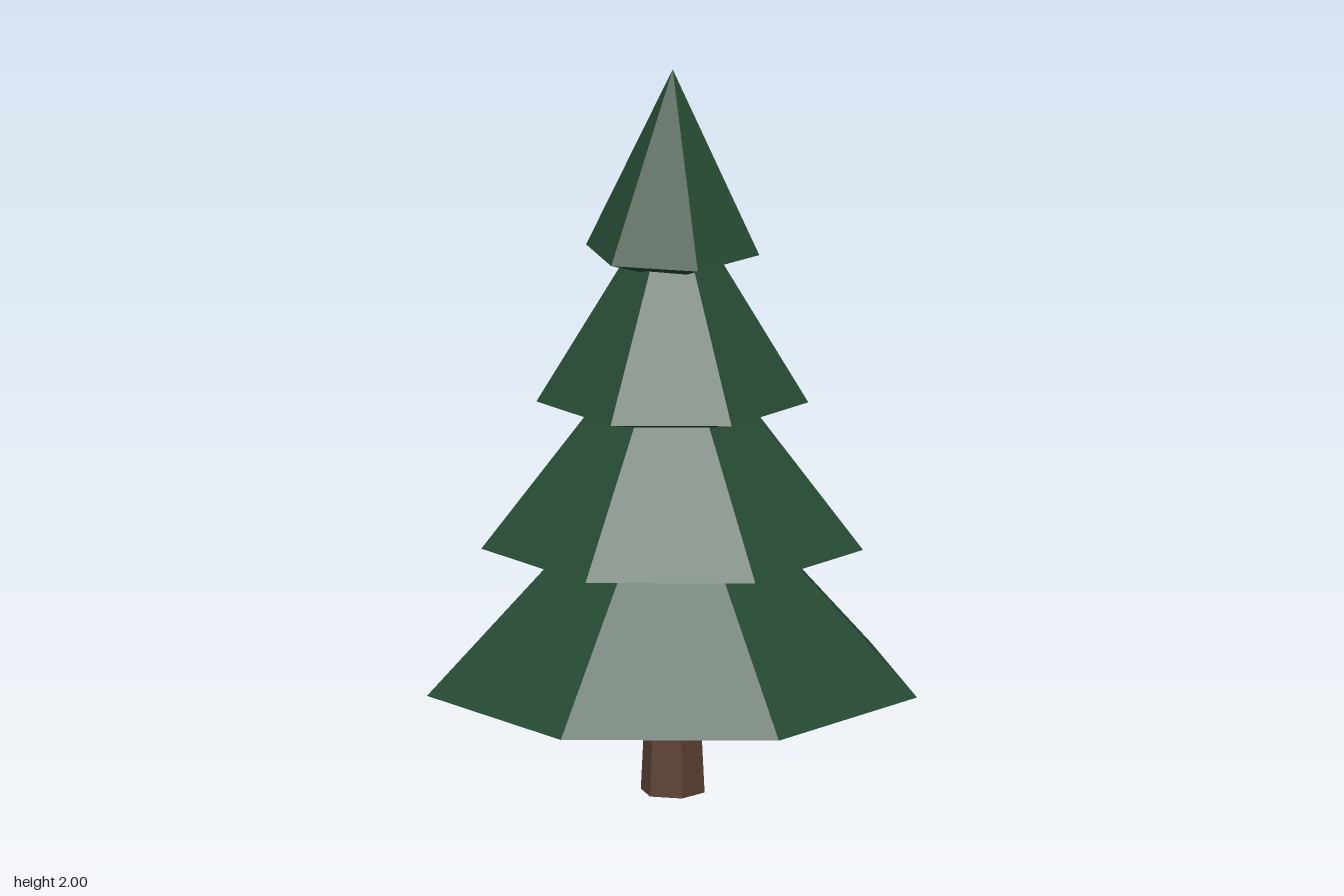
import * as THREE from 'three';

const needleGreen = new THREE.MeshStandardMaterial({ color: 0x264a33, flatShading: true });
needleGreen.name = 'needle green';
const barkBrown = new THREE.MeshStandardMaterial({ color: 0x5c4033, flatShading: true });
barkBrown.name = 'bark brown';

// Faceted solid of revolution; profile runs bottom to top as [radius, y],
// and one corner lies at the given angle from +x towards +z.
function faceted(name, profile, sides, cornerDegrees, material) {
  const points = profile.map(([r, y]) => new THREE.Vector2(r, y));
  const start = THREE.MathUtils.degToRad(90 - cornerDegrees);
  const mesh = new THREE.Mesh(new THREE.LatheGeometry(points, sides, start), material);
  mesh.name = name;
  return mesh;
}

export function createModel() {
  const tree = new THREE.Group();
  tree.name = 'pineTree';

  // Tapered six-sided trunk, its top hidden in the lowest tier
  tree.add(faceted('trunk', [[0, 0], [0.088, 0], [0.073, 0.3], [0, 0.3]], 6, -3.5, barkBrown));

  // Branch tiers: steep cone above, shallow cone below the rim
  const tiers = [
    { name: 'bottomTier', r: 0.674, under: 0.17, rim: 0.3, tip: 1.0, sides: 7, corner: 5 },
    { name: 'lowerTier', r: 0.525, under: 0.575, rim: 0.7, tip: 1.35, sides: 7, corner: 5 },
    { name: 'upperTier', r: 0.374, under: 1.0, rim: 1.1, tip: 1.69, sides: 7, corner: 5 },
    { name: 'topTier', r: 0.239, under: 1.42, rim: 1.5, tip: 2.0, sides: 6, corner: -3.5 },
  ];
  for (const t of tiers) {
    const profile = [[0, t.under], [t.r, t.rim], [0, t.tip]];
    tree.add(faceted(t.name, profile, t.sides, t.corner, needleGreen));
  }

  // The uneven corners put the trunk axis slightly off centre
  for (const part of tree.children) part.position.set(-0.022, 0, 0.011);
  return tree;
}
